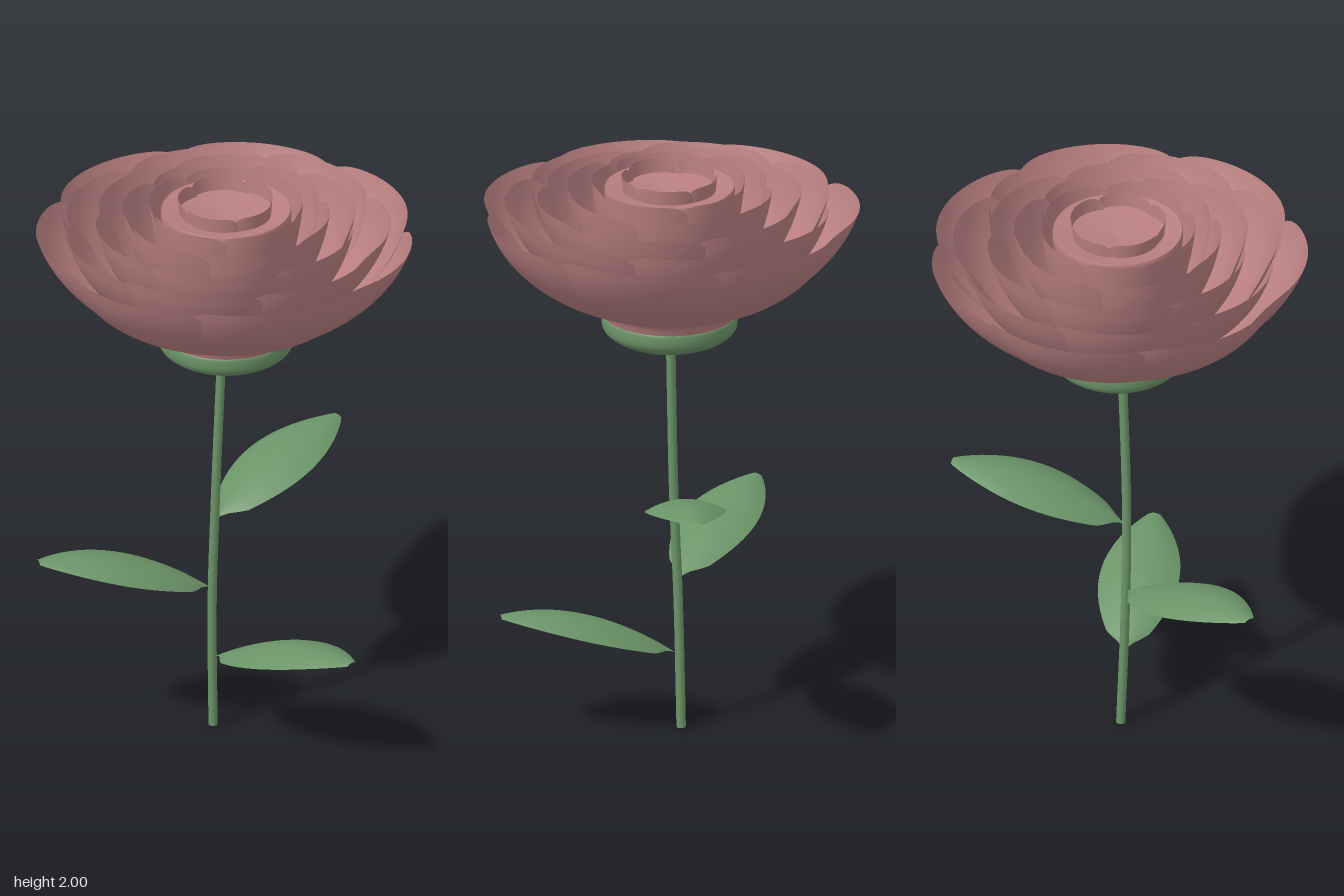
import * as THREE from 'three';
import { ParametricGeometry } from 'three/addons/geometries/ParametricGeometry.js';

const petalPink = new THREE.MeshStandardMaterial({ color: 0xb97f80, side: THREE.DoubleSide });
petalPink.name = 'petalPink';
const leafGreen = new THREE.MeshStandardMaterial({ color: 0x6b9468, side: THREE.DoubleSide });
leafGreen.name = 'leafGreen';

const rad = THREE.MathUtils.degToRad;

function mesh(name, geometry, material) {
  const m = new THREE.Mesh(geometry, material);
  m.name = name;
  return m;
}

function surface(fn, slices, stacks) {
  const g = new ParametricGeometry(fn, slices, stacks);
  g.computeVertexNormals();
  return g;
}

function lathe(points, smooth = 24) {
  const curve = new THREE.SplineCurve(points.map(([r, y]) => new THREE.Vector2(r, y)));
  return new THREE.LatheGeometry(curve.getPoints(smooth), 64);
}

// One cupped petal: flares from the base to the rim, with rounded top corners
function petalGeometry({ rim, top, base, bottom, count }) {
  const half = (Math.PI / count) * 1.3;
  return surface((s, t, target) => {
    const u = s * 2 - 1;
    const v = t * (1 - 0.25 * Math.pow(Math.abs(u), 7));
    const flare = Math.sin(v * 1.25) / Math.sin(1.25);
    const bow = 1 - (0.085 * u * u + 0.012 * u) * v;
    const r = (base + (rim - base) * flare) * bow;
    const y = bottom + (top - bottom) * Math.pow(v, 1.5);
    target.set(r * Math.cos(u * half), y, r * Math.sin(u * half));
  }, 28, 14);
}

// Leaf along +x: arched midrib, drooping edges, blunt tip
function leafGeometry() {
  return surface((s, t, target) => {
    const u = s * 2 - 1;
    const w = 0.135 * Math.pow(Math.max(0, Math.sin(Math.PI * (0.02 + 0.95 * t))), 0.8) * Math.min(1, t * 8);
    const y = 0.4 * t - 0.225 * t * t - 0.04 * u * u * (w / 0.135);
    target.set(0.6 * t, y, u * w);
  }, 14, 28);
}

export function createModel() {
  const model = new THREE.Group();
  model.name = 'flower';

  // Stem
  const path = new THREE.CatmullRomCurve3([
    new THREE.Vector3(-0.046, 0, -0.002),
    new THREE.Vector3(-0.045, 0.45, 0.014),
    new THREE.Vector3(-0.032, 0.85, 0.022),
    new THREE.Vector3(-0.012, 1.42, 0.012),
  ]);
  const stem = new THREE.TubeGeometry(path, 32, 0.016, 12);
  model.add(mesh('stem', stem, leafGreen));
  const foot = mesh('stemEnd', new THREE.CircleGeometry(0.016, 12), leafGreen);
  foot.rotation.x = Math.PI / 2;
  foot.position.set(-0.046, 0.001, -0.002);
  model.add(foot);

  // Leaves: base position and heading
  const leaf = leafGeometry();
  for (const [x, y, z, angle] of [
    [-0.035, 0.265, 0.01, 25],
    [-0.045, 0.525, 0.015, 151],
    [-0.034, 0.785, 0.02, -62],
  ]) {
    const m = mesh('leaf', leaf, leafGreen);
    m.position.set(x, y, z);
    m.rotation.y = -rad(angle);
    model.add(m);
  }

  // Blossom base and green collar
  model.add(mesh('blossomBase', lathe([
    [0, 1.38], [0.09, 1.39], [0.17, 1.425], [0.215, 1.48], [0.25, 1.55], [0.36, 1.59],
  ]), petalPink));
  model.add(mesh('collar', lathe([
    [0.1, 1.392], [0.17, 1.415], [0.222, 1.45], [0.228, 1.5], [0.212, 1.503],
  ]), leafGreen));

  // Central bud, slightly hollow on top
  model.add(mesh('bud', lathe([
    [0.1, 1.56], [0.18, 1.75], [0.215, 1.9], [0.218, 1.955], [0.2, 1.957], [0.1, 1.94], [0, 1.93],
  ], 36), petalPink));

  // Nested rings of petals, outermost first
  const rings = [
    { rim: 0.64, top: 1.88, base: 0.25, bottom: 1.555, count: 7, start: 34 },
    { rim: 0.555, top: 1.905, base: 0.22, bottom: 1.57, count: 7, start: 12 },
    { rim: 0.45, top: 1.93, base: 0.19, bottom: 1.585, count: 6, start: 51 },
    { rim: 0.35, top: 1.955, base: 0.16, bottom: 1.6, count: 6, start: 27 },
    { rim: 0.262, top: 1.98, base: 0.14, bottom: 1.62, count: 5, start: 78 },
    { rim: 0.162, top: 2.0, base: 0.1, bottom: 1.75, count: 5, start: -10 },
  ];
  for (const ring of rings) {
    const group = new THREE.Group();
    group.name = 'petalRing';
    const geometry = petalGeometry(ring);
    for (let i = 0; i < ring.count; i++) {
      const petal = mesh('petal', geometry, petalPink);
      petal.rotation.y = -rad(ring.start + ((i + 0.5) * 360) / ring.count);
      group.add(petal);
    }
    model.add(group);
  }
  return model;
}
